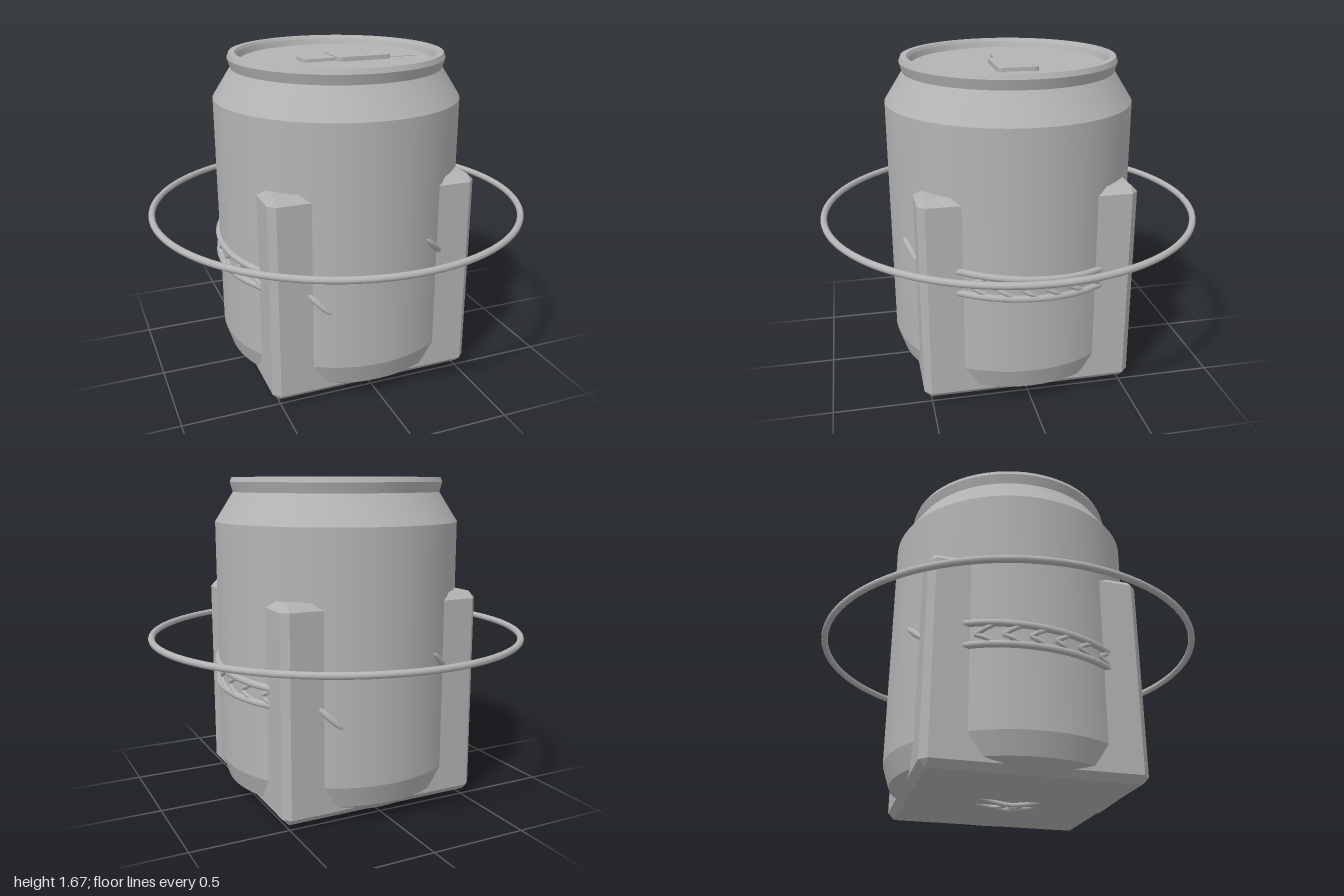
import * as THREE from 'three';
import { toCreasedNormals } from 'three/addons/utils/BufferGeometryUtils.js';
import { ConvexGeometry } from 'three/addons/geometries/ConvexGeometry.js';

const metal = new THREE.MeshStandardMaterial({ color: 0xb4b4b4 });
metal.name = 'grey metal';

function add(parent, name, geometry) {
  const mesh = new THREE.Mesh(geometry, metal);
  mesh.name = name;
  parent.add(mesh);
  return mesh;
}

function tube(points, radius, segments = 24) {
  return new THREE.TubeGeometry(new THREE.CatmullRomCurve3(points), segments, radius, 8);
}

// Box with all twelve edges bevelled
function bevelledBox(half, y0, y1, b) {
  const points = [];
  for (const sx of [-1, 1]) for (const sz of [-1, 1]) for (const [y, dy] of [[y0, b], [y1, -b]]) {
    const i = half - b;
    points.push(
      new THREE.Vector3(sx * half, y + dy, sz * i),
      new THREE.Vector3(sx * i, y + dy, sz * half),
      new THREE.Vector3(sx * i, y, sz * i));
  }
  return new ConvexGeometry(points);
}

// Rounded flat plate lying on the lid, centred on x
function plate(width, depth, corner, height) {
  const w = width / 2, d = depth / 2, s = new THREE.Shape();
  s.moveTo(-w + corner, -d);
  s.lineTo(w - corner, -d).quadraticCurveTo(w, -d, w, -d + corner);
  s.lineTo(w, d - corner).quadraticCurveTo(w, d, w - corner, d);
  s.lineTo(-w + corner, d).quadraticCurveTo(-w, d, -w, d - corner);
  s.lineTo(-w, -d + corner).quadraticCurveTo(-w, -d, -w + corner, -d);
  return new THREE.ExtrudeGeometry(s, { depth: height, bevelEnabled: false, curveSegments: 4 })
    .rotateX(-Math.PI / 2);
}

// Point on the can's +x side, pushed out to radius r
const onSide = (z, y, r) => new THREE.Vector3(Math.sqrt(r * r - z * z), y, z);
const upperY = z => 0.705 + 0.08 * z;
const lowerY = z => 0.605 + 0.04 * z;

// Relief on one side and the face next to it; turned half round for the rest
function sideRelief() {
  const group = new THREE.Group();
  for (const [name, height] of [['upperRail', upperY], ['lowerRail', lowerY]]) {
    const points = [];
    for (let i = 0; i <= 8; i++) {
      const z = -0.36 + i * 0.09;
      points.push(onSide(z, height(z), 0.638));
    }
    add(group, name, tube(points, 0.018, 32));
  }
  for (let i = 0; i < 6; i++) {
    const z = 0.27 - i * 0.123, mid = (upperY(z) + lowerY(z)) / 2;
    for (const s of [-1, 1]) {
      add(group, 'chevronArm', tube([
        onSide(z + 0.04, mid, 0.634),
        onSide(z + 0.005, mid + s * 0.02, 0.641),
        onSide(z - 0.035, mid + s * 0.042, 0.636)], 0.012, 8));
    }
  }
  // Slanted leaf tips emerging from the can's front
  for (const [x, y, tilt] of [[-0.31, 0.555, -0.73], [0.305, 0.765, -0.68]]) {
    const pivot = new THREE.Group();
    pivot.name = 'leafTip';
    pivot.rotation.y = Math.asin(x / 0.635);
    const leaf = add(pivot, 'leaf', new THREE.SphereGeometry(1, 16, 10));
    leaf.scale.set(0.085, 0.017, 0.016);
    leaf.position.set(0, y, 0.637);
    leaf.rotation.z = tilt;
    group.add(pivot);
  }
  return group;
}

export function createModel() {
  const model = new THREE.Group();
  model.name = 'canInHolder';

  // Can body with shoulder, rolled rim and sunken lid
  const profile = [
    [0, 0.05], [0.49, 0.05], [0.513, 0.03], [0.6, 0.09], [0.635, 0.2],
    [0.635, 1.45], [0.54, 1.6], [0.555, 1.65], [0.545, 1.675],
    [0.515, 1.675], [0.505, 1.66], [0.495, 1.63], [0, 1.63],
  ].map(p => new THREE.Vector2(...p));
  add(model, 'can', toCreasedNormals(new THREE.LatheGeometry(profile, 64), 0.2));

  // Square holder whose corners stand out around the can
  add(model, 'holder', bevelledBox(0.54, 0.03, 1.105, 0.035));

  // Floating hoop
  const hoop = add(model, 'hoop', new THREE.TorusGeometry(0.983, 0.017, 12, 96));
  hoop.rotation.x = Math.PI / 2;
  hoop.position.y = 0.852;

  // Pull tab and opening
  add(model, 'pullTab', plate(0.29, 0.205, 0.025, 0.022)).position.set(0.117, 1.63, 0);
  add(model, 'tabTongue', plate(0.17, 0.12, 0.015, 0.015)).position.set(-0.112, 1.63, 0);
  add(model, 'opening', plate(0.24, 0.13, 0.004, 0.003)).position.set(0.31, 1.63, 0);

  // Braided relief, repeated by a half turn
  for (const turn of [0, Math.PI]) {
    const relief = sideRelief();
    relief.name = turn ? 'rightRelief' : 'leftRelief';
    relief.rotation.y = turn;
    model.add(relief);
  }

  // Small bowed ornament under the base
  const ornament = new THREE.Group();
  ornament.name = 'baseOrnament';
  for (const s of [-1, 1]) {
    add(ornament, 'bowedStrand', tube([
      new THREE.Vector3(s * 0.05, 0.035, -0.155),
      new THREE.Vector3(s * 0.045, 0.012, 0),
      new THREE.Vector3(s * 0.05, 0.035, 0.155)], 0.012));
    for (const z of [-0.04, 0.04]) {
      add(ornament, 'crossArm', tube([
        new THREE.Vector3(0, 0.02, z + 0.03),
        new THREE.Vector3(s * 0.022, 0.018, z),
        new THREE.Vector3(s * 0.042, 0.02, z - 0.03)], 0.01, 8));
    }
  }
  model.add(ornament);
  return model;
}
